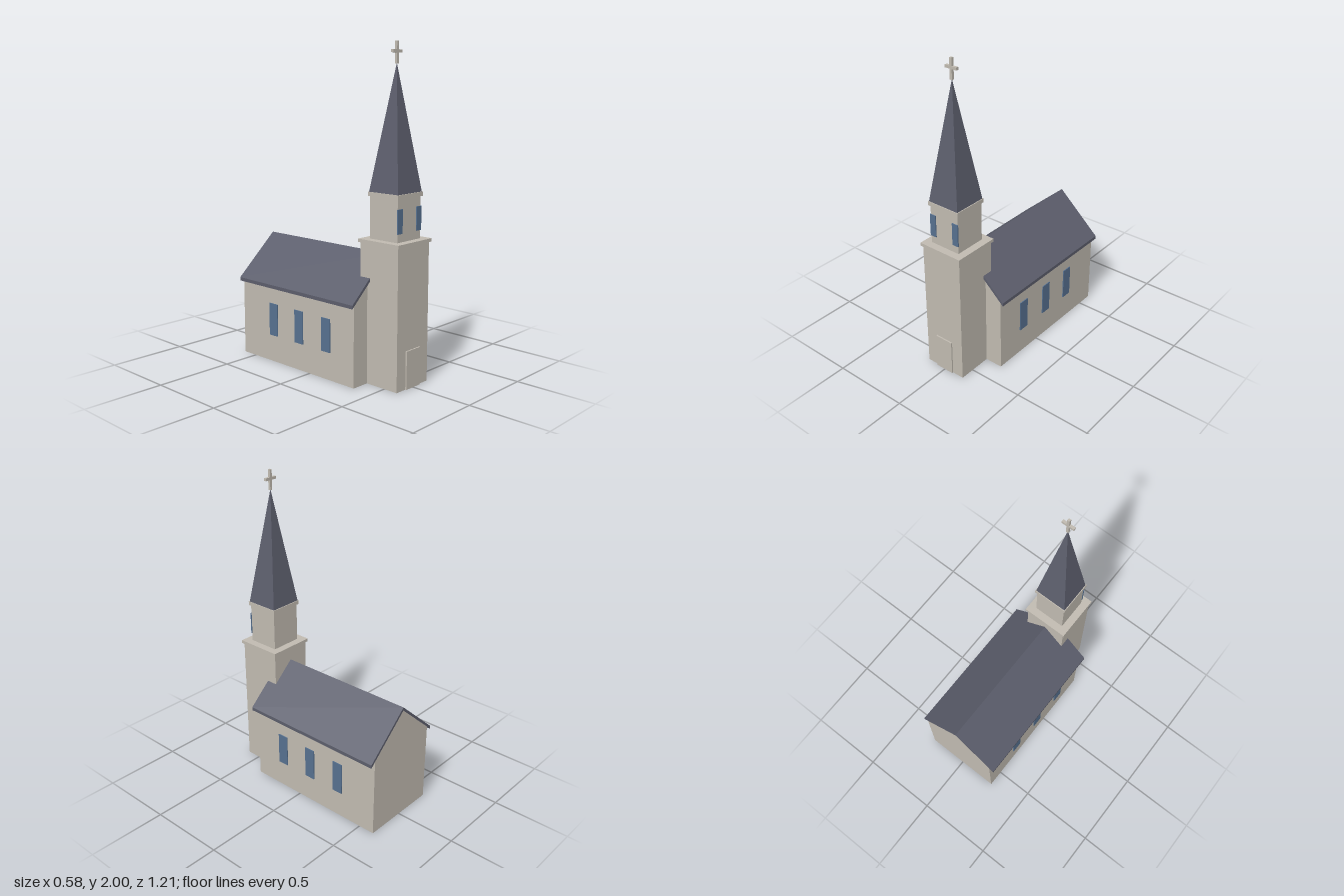
import * as THREE from 'three';

const wall = new THREE.MeshStandardMaterial({ color: 0xc0bab0 });
wall.name = 'paleStone';
const slate = new THREE.MeshStandardMaterial({ color: 0x5c5e6c });
slate.name = 'slate';
const glass = new THREE.MeshStandardMaterial({ color: 0x56708f });
glass.name = 'blueGlass';

const TOWER_Z = 0.453;
const BACK = -0.605;

export function createModel() {
  const church = new THREE.Group();
  church.name = 'church';

  const add = (name, geometry, material) => {
    const mesh = new THREE.Mesh(geometry, material);
    mesh.name = name;
    church.add(mesh);
    return mesh;
  };
  // Box given by its lower and upper limits on each axis
  const box = (name, material, [x0, x1], [y0, y1], [z0, z1]) =>
    add(name, new THREE.BoxGeometry(x1 - x0, y1 - y0, z1 - z0), material)
      .position.set((x0 + x1) / 2, (y0 + y1) / 2, (z0 + z1) / 2);
  // Square block centred on the tower axis
  const block = (name, half, y) =>
    box(name, wall, [-half, half], y, [TOWER_Z - half, TOWER_Z + half]);
  // Profile in x and y, drawn out from the back wall to z = front
  const prism = (name, points, front, material) => {
    const shape = new THREE.Shape(points.map(([x, y]) => new THREE.Vector2(x, y)));
    const geometry = new THREE.ExtrudeGeometry(shape, { depth: front - BACK, bevelEnabled: false });
    add(name, geometry, material).position.z = BACK;
  };

  // Nave with gables, and its roof with overhanging eaves
  prism('nave', [[-0.257, 0], [0.257, 0], [0.257, 0.519], [0, 0.75], [-0.257, 0.519]], 0.365, wall);
  prism('naveRoof', [[-0.29, 0.488], [0, 0.749], [0.29, 0.488], [0.29, 0.51], [0, 0.771], [-0.29, 0.51]], 0.384, slate);

  // Three windows along each side of the nave
  for (const side of [-1, 1]) {
    for (const z of [0.14, -0.091, -0.319]) {
      const x = side * 0.2595;
      box('naveWindow', glass, [x - 0.0035, x + 0.0035], [0.172, 0.38], [z - 0.036, z + 0.036]);
    }
  }

  // Tower stages and cornices
  block('tower', 0.141, [0, 0.85]);
  block('towerCornice', 0.152, [0.85, 0.87]);
  block('belfry', 0.103, [0.87, 1.12]);
  block('belfryCornice', 0.113, [1.12, 1.145]);

  // Door and the two belfry windows
  box('door', wall, [-0.062, 0.062], [0, 0.232], [0.594, 0.603]);
  for (const side of [-1, 1]) {
    const x = side * 0.085;
    box('belfryWindow', glass, [x - 0.021, x + 0.021], [0.92, 1.062], [0.554, 0.562]);
  }

  // Four-sided spire with crisp edges
  const cone = new THREE.ConeGeometry(0.108 * Math.SQRT2, 0.735, 4, 1, false, Math.PI / 4).toNonIndexed();
  cone.computeVertexNormals();
  add('spire', cone, slate).position.set(0, 1.5125, TOWER_Z);

  // Cross on the tip
  const depth = [TOWER_Z - 0.008, TOWER_Z + 0.008];
  box('crossUpright', wall, [-0.008, 0.008], [1.875, 2], depth);
  for (const side of [-1, 1]) {
    const arm = side < 0 ? [-0.041, -0.008] : [0.008, 0.041];
    box('crossArm', wall, arm, [1.936, 1.953], depth);
  }

  return church;
}
